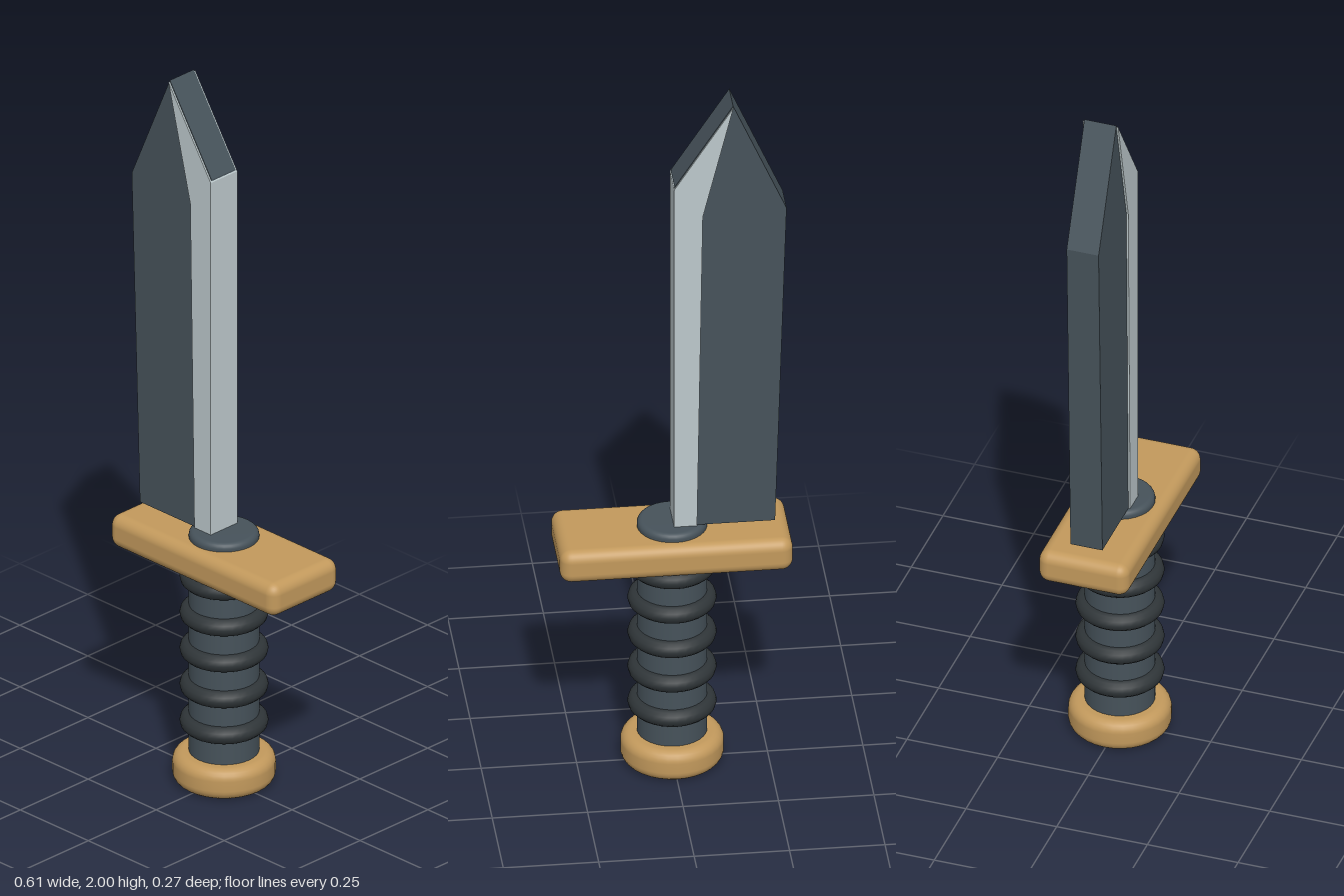
import * as THREE from 'three';
import { RoundedBoxGeometry } from 'three/addons/geometries/RoundedBoxGeometry.js';

const steel = new THREE.MeshStandardMaterial({ color: 0x46525a });
const edgeSteel = new THREE.MeshStandardMaterial({ color: 0xbcc8cb });
const brass = new THREE.MeshStandardMaterial({ color: 0xc2995c });
const rubber = new THREE.MeshStandardMaterial({ color: 0x2f3538 });

export function createModel() {
  const group = new THREE.Group();
  const add = (name, geometry, material, y = 0) => {
    const mesh = new THREE.Mesh(geometry, material);
    mesh.name = name;
    mesh.position.y = y;
    group.add(mesh);
    return mesh;
  };

  // Flat slab cut from an outline, centred on z
  const slab = (outline, thickness) => {
    const shape = new THREE.Shape(outline.map(([x, y]) => new THREE.Vector2(x, y)));
    return new THREE.ExtrudeGeometry(shape, { depth: thickness, bevelEnabled: false })
      .translate(0, 0, -thickness / 2);
  };

  // Upright cylinder with filleted rims
  const roundedCylinder = (radius, y0, y1, fillet) => {
    const points = [new THREE.Vector2(0, y0)];
    for (const [cy, start] of [[y0 + fillet, -Math.PI / 2], [y1 - fillet, 0]]) {
      for (let i = 0; i <= 6; i++) {
        const a = start + (i / 6) * Math.PI / 2;
        points.push(new THREE.Vector2(radius - fillet + fillet * Math.cos(a), cy + fillet * Math.sin(a)));
      }
    }
    points.push(new THREE.Vector2(0, y1));
    return new THREE.LatheGeometry(points, 32);
  };

  // Blade: dark body, with a slightly thicker bright strip along the cutting edge
  add('bladeBody', slab([[-0.265, 0.73], [-0.002, 0.73], [-0.002, 1.764], [-0.155, 2], [-0.295, 1.68]], 0.088), steel);
  add('bladeEdge', slab([[-0.06, 0.73], [0, 0.73], [0, 1.757], [-0.155, 1.996], [-0.075, 1.67]], 0.098), edgeSteel);

  // Handle: grip running through the guard, pommel at the foot
  add('grip', roundedCylinder(0.092, 0.05, 0.73, 0.015), steel);
  add('pommel', roundedCylinder(0.135, 0, 0.088, 0.03), brass);
  add('guard', new RoundedBoxGeometry(0.61, 0.094, 0.248, 4, 0.03), brass, 0.662);

  // Grip rings
  for (let i = 0; i < 5; i++) {
    const ring = new THREE.TorusGeometry(0.092, 0.024, 12, 32).rotateX(Math.PI / 2);
    add('gripRing' + (i + 1), ring, rubber, 0.175 + i * 0.105);
  }
  return group;
}
